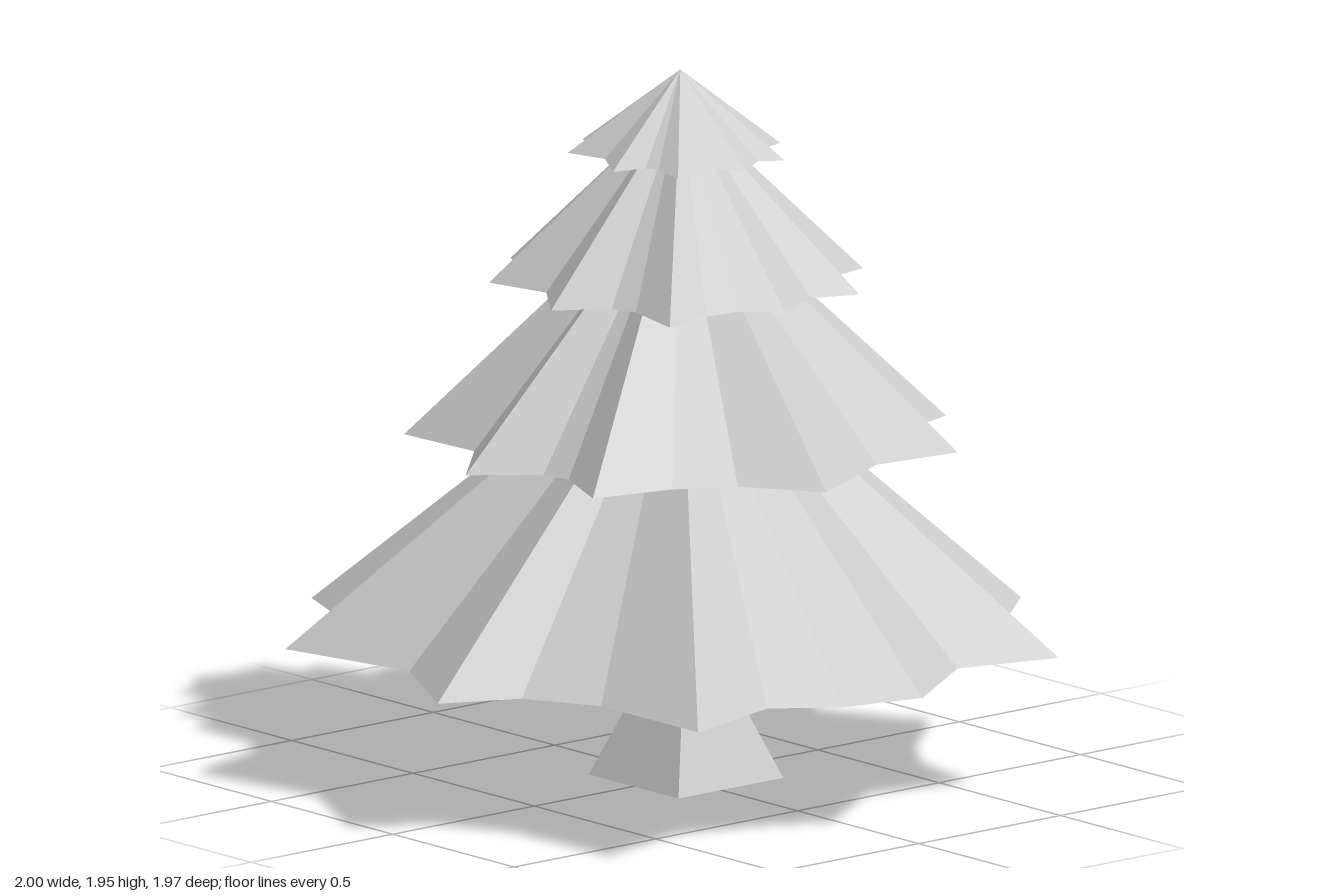
import * as THREE from 'three';

// Notches between neighbouring tips, as corners of [position between the tips, inward scale, height offset]
const WIDE_NOTCHES = [
  [[0.33, 0.967, -0.015], [0.607, 0.916]],
  [[0.36, 0.914], [0.7, 0.987, -0.02]],
  [[0.527, 0.85]],
  [[0.386, 0.895, -0.03], [0.717, 0.906]],
  [[0.452, 0.877]],
  [[0.286, 0.917, -0.015], [0.644, 0.895]],
  [[0.417, 0.864], [0.761, 0.876]],
  [[0.449, 0.869]],
  [[0.471, 0.866]],
];
const NARROW_NOTCHES = [
  [[0.56, 0.92]],
  [[0.43, 0.885]],
  [[0.48, 0.865]],
  [[0.46, 0.83]],
  [[0.45, 0.9]],
  [[0.35, 0.9], [0.66, 0.92]],
  [[0.35, 0.84], [0.6, 0.83]],
  [[0.46, 0.845]],
  [[0.46, 0.84]],
];

// Each tier: apex height, rim height and the nine rim tips as [x, z], clockwise from above
const TIERS = [
  {
    name: 'bottomBranches', apex: 1.28, rim: 0.393, notches: WIDE_NOTCHES,
    tips: [[-0.46, -0.965], [0.37, -0.985], [1, -0.345], [0.99, 0.265], [0.61, 0.865],
      [0.03, 0.98], [-0.685, 0.89], [-1, 0.185], [-0.9, -0.56]],
  },
  {
    name: 'lowerMiddleBranches', apex: 1.66, rim: 0.933, notches: NARROW_NOTCHES,
    tips: [[-0.13, -0.68], [0.38, -0.72], [0.695, -0.27], [0.73, 0.26], [0.475, 0.605],
      [-0.095, 0.73], [-0.615, 0.375], [-0.7, -0.05], [-0.515, -0.52]],
  },
  {
    name: 'upperMiddleBranches', apex: 1.87, rim: 1.37, notches: NARROW_NOTCHES,
    tips: [[-0.165, -0.49], [0.24, -0.46], [0.51, -0.125], [0.475, 0.215], [0.27, 0.44],
      [-0.02, 0.475], [-0.365, 0.4], [-0.48, 0.045], [-0.395, -0.31]],
  },
  {
    name: 'topBranches', apex: 1.95, rim: 1.722, notches: NARROW_NOTCHES,
    tips: [[-0.085, -0.285], [0.155, -0.27], [0.3, -0.09], [0.29, 0.09], [0.165, 0.255],
      [0.01, 0.275], [-0.19, 0.23], [-0.27, 0.055], [-0.22, -0.19]],
  },
];

// Star-shaped rim: the tips, with notches pulled in towards the trunk
function starRim({ tips, rim, notches }) {
  const points = tips.map(([x, z]) => new THREE.Vector3(x, rim, z));
  return points.flatMap((tip, i) => {
    const next = points[(i + 1) % points.length];
    const notch = notches[i].map(([t, scale, offset = 0.007]) => (
      tip.clone().lerp(next, t).multiplyScalar(scale).setY(rim + offset)
    ));
    return [tip, ...notch];
  });
}

// Pleated open cone: a fan of triangles from the apex to the rim
function pleatedCone(tier) {
  const top = new THREE.Vector3(0.015, tier.apex, 0);
  const rim = starRim(tier);
  const corners = rim.flatMap((point, i) => [top, rim[(i + 1) % rim.length], point]);
  const geometry = new THREE.BufferGeometry().setFromPoints(corners);
  geometry.computeVertexNormals();
  return geometry;
}

export function createModel() {
  const tree = new THREE.Group();
  tree.name = 'tree';
  const material = new THREE.MeshStandardMaterial({
    color: 0xcccccc, flatShading: true, side: THREE.DoubleSide,
  });

  // Four overlapping tiers of branches
  for (const tier of TIERS) {
    const branches = new THREE.Mesh(pleatedCone(tier), material);
    branches.name = tier.name;
    tree.add(branches);
  }

  // Square trunk with a flared foot, closed underneath; profile is [half width, height]
  const profile = [[0, 0], [0.185, 0], [0.097, 0.23], [0.087, 0.4], [0.07, 0.95]]
    .map(([half, y]) => new THREE.Vector2(half * Math.SQRT2, y));
  const trunk = new THREE.Mesh(new THREE.LatheGeometry(profile, 4, Math.PI / 4), material);
  trunk.name = 'trunk';
  trunk.position.x = 0.035;
  tree.add(trunk);

  return tree;
}
